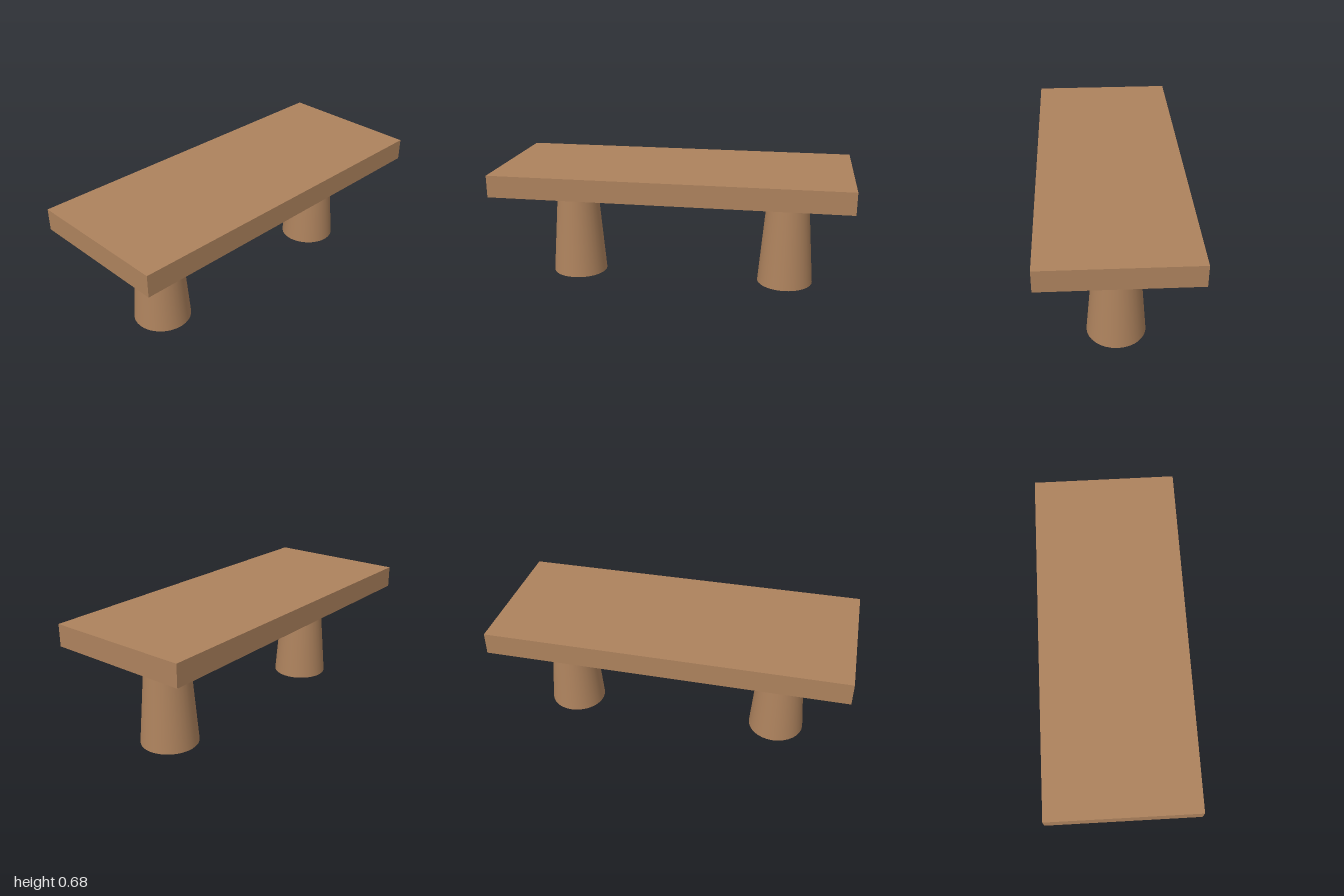
import * as THREE from 'three';

export function createModel() {
  const wood = new THREE.MeshStandardMaterial({ color: 0xad825d, side: THREE.DoubleSide });
  wood.name = 'warm brown wood';

  const bench = new THREE.Group();
  bench.name = 'bench';

  // Flat rectangular slab
  const seatBottom = 0.56, seatTop = 0.684;
  const seat = new THREE.Mesh(new THREE.BoxGeometry(0.826, seatTop - seatBottom, 2), wood);
  seat.name = 'seat';
  seat.position.y = (seatBottom + seatTop) / 2;
  bench.add(seat);

  // Two hollow tapered legs, open at the foot
  const legGeometry = new THREE.CylinderGeometry(0.116, 0.162, seatBottom, 32, 1, true);
  for (const [name, z] of [['frontLeg', 0.607], ['backLeg', -0.647]]) {
    const leg = new THREE.Mesh(legGeometry, wood);
    leg.name = name;
    leg.position.set(-0.003, seatBottom / 2, z);
    bench.add(leg);
  }

  return bench;
}
